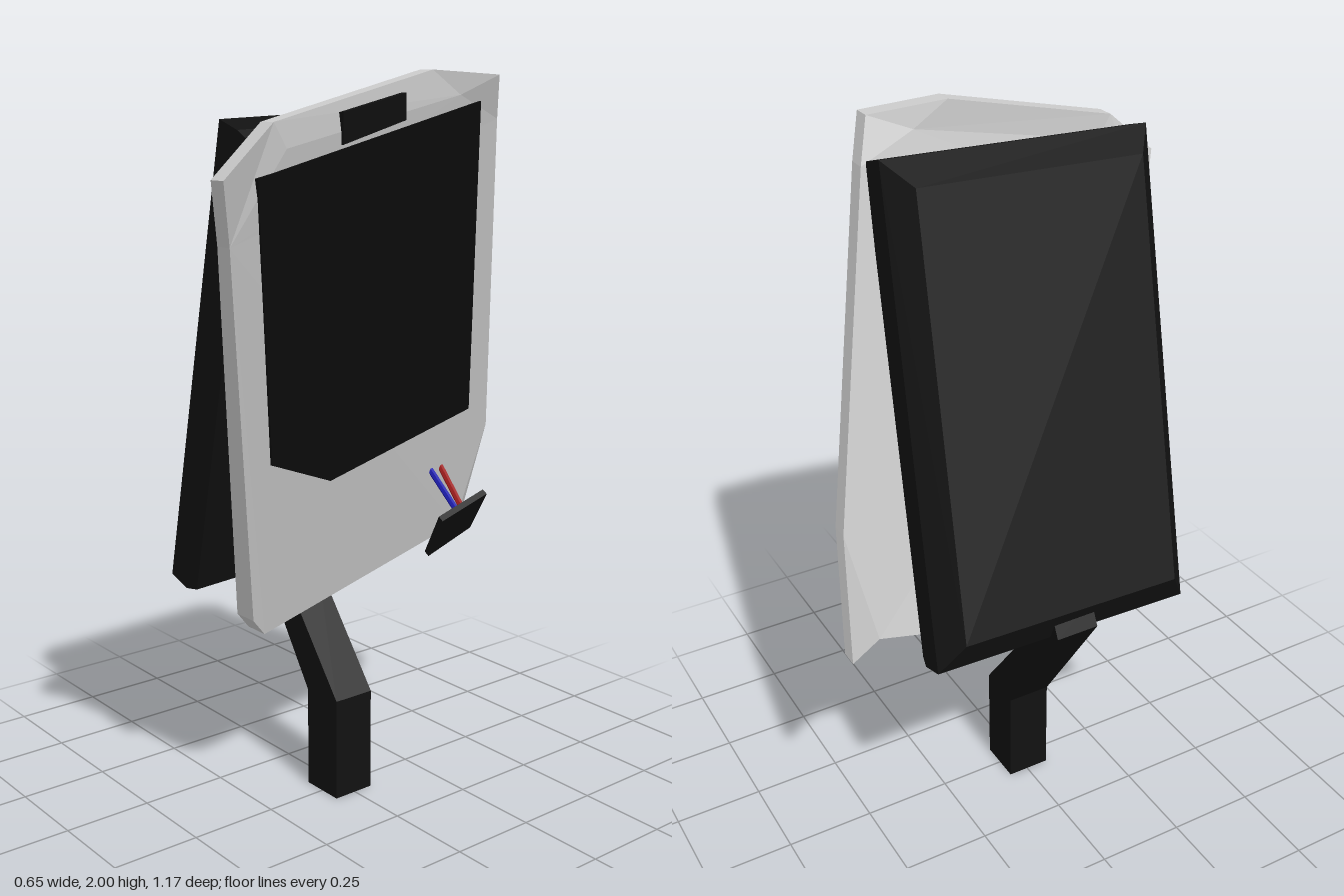
import * as THREE from 'three';

const mat = (color) => new THREE.MeshStandardMaterial({ color, flatShading: true });
const grey = mat(0xcccccc), black = mat(0x111111), glass = mat(0x0c0c0c);
const blue = mat(0x1a1ab0), red = mat(0xa01a1a);

// Flat-shaded mesh from points and triangles
function facets(name, points, tris, material) {
  const g = new THREE.BufferGeometry();
  g.setAttribute('position', new THREE.Float32BufferAttribute(tris.flat().flatMap((i) => points[i]), 3));
  g.computeVertexNormals();
  const m = new THREE.Mesh(g, material);
  m.name = name;
  return m;
}

// Closed solid through rings, ordered along +x, each counter-clockwise seen from +x
function loft(name, rings, material) {
  const n = rings[0].length, tris = [], last = (rings.length - 1) * n;
  for (let r = 0; r < last; r += n) {
    for (let i = 0; i < n; i++) {
      const j = (i + 1) % n;
      tris.push([r + i, r + j, r + n + j], [r + i, r + n + j, r + n + i]);
    }
  }
  for (let i = 1; i < n - 1; i++) tris.push([0, i + 1, i], [last, last + i, last + i + 1]);
  return facets(name, rings.flat(), tris, material);
}

// Leaning plane of the face plate
const planeX = (y, z) => 0.26 + 0.233 * (y - 1.6) + 0.085 * (z - 0.535);

// Thin inlay lying on the face plate, corners as [z, y]
function inlay(name, corners, lift, material) {
  const ring = (d) => corners.map(([z, y]) => [planeX(y, z) + d, y, z]);
  return loft(name, [ring(-0.02), ring(lift)], material);
}

// Face plate with bent corners: outline 0-10, fold points 11-12
function facePlate() {
  const front = [
    [0.32, 1.755, 0.59], [0.305, 1.88, 0.44], [0.285, 2, -0.06], [0.295, 1.99, -0.28],
    [0.25, 1.88, -0.32], [0.03, 1, -0.525], [-0.12, 0.71, -0.585], [-0.035, 0.69, -0.47],
    [-0.02, 0.515, 0.25], [0, 0.57, 0.3], [0.26, 1.6, 0.535],
    [0.3, 1.82, 0.4], [0.28, 1.94, -0.16],
  ];
  const n = front.length, edge = 11;
  const back = front.map(([x, y, z]) => [x - (y < 0.6 ? 0.075 : 0.05), y, z]);
  const faces = [
    [10, 0, 1], [10, 1, 11], [1, 2, 12], [1, 12, 11], [2, 3, 12], [3, 4, 12], [5, 6, 7],
    [10, 11, 12], [10, 12, 4], [10, 4, 5], [10, 5, 7], [10, 7, 8], [10, 8, 9],
  ];
  const tris = [];
  for (const [a, b, c] of faces) tris.push([a, c, b], [a + n, b + n, c + n]);
  for (let i = 0; i < edge; i++) {
    const j = (i + 1) % edge;
    tris.push([i, j, j + n], [i, j + n, i + n]);
  }
  return facets('facePlate', [...front, ...back], tris, grey);
}

// Leaning rear housing, chamfered towards its back
function housing() {
  const ring = (depth, halfLength, halfWidth) =>
    [[1, 1], [-1, 1], [-1, -1], [1, -1]].map(([s, t]) => {
      const u = s * halfLength, w = t * halfWidth;
      return [
        -0.14 + 0.95 * depth + 0.313 * u + 0.02 * w,
        1.305 - 0.313 * depth + 0.95 * u - 0.045 * w,
        0.035 + 0.07 * u + w,
      ];
    });
  return loft('housing', [ring(0, 0.575, 0.33), ring(0.065, 0.65, 0.39),
    ring(0.14, 0.65, 0.39), ring(0.175, 0.635, 0.38)], black);
}

// Bent square arm carrying the housing
function arm() {
  const shape = new THREE.Shape([
    [-0.065, 0], [0.065, 0], [0.065, 0.295], [-0.18, 0.62],
    [-0.2, 0.78], [-0.29, 0.75], [-0.322, 0.685], [-0.065, 0.29],
  ].map(([x, y]) => new THREE.Vector2(x, y)));
  const g = new THREE.ExtrudeGeometry(shape, { depth: 0.125, bevelEnabled: false });
  g.translate(0, 0, -0.058);
  const m = new THREE.Mesh(g, black);
  m.name = 'arm';
  return m;
}

// Straight wire between two points
function wire(name, from, to, material) {
  const path = new THREE.LineCurve3(new THREE.Vector3(...from), new THREE.Vector3(...to));
  const m = new THREE.Mesh(new THREE.TubeGeometry(path, 1, 0.009, 6), material);
  m.name = name;
  return m;
}

export function createModel() {
  const model = new THREE.Group();
  model.name = 'screenOnArm';
  model.add(arm(), housing(), facePlate());

  // Screen and slot
  model.add(inlay('screen', [[0.48, 1.755], [0.315, 1.025], [0.095, 0.94], [-0.425, 1.065], [-0.235, 1.925]], 0.006, glass));
  model.add(inlay('slot', [[0.245, 1.9], [0.23, 1.825], [0.03, 1.88], [0.045, 1.945]], 0.008, black));

  // Loose tilted card hanging on two wires
  const card = [[0.147, 0.79, -0.24], [0.047, 0.655, -0.28], [0.047, 0.71, -0.445], [0.147, 0.84, -0.41]];
  const shifted = (d) => card.map(([x, y, z]) => [x + 0.8 * d, y - 0.5 * d, z]);
  model.add(loft('card', [shifted(-0.008), shifted(0.012)], black));
  model.add(wire('blueWire', [0.01, 0.905, -0.313], [0.115, 0.78, -0.34], blue));
  model.add(wire('redWire', [0.01, 0.905, -0.357], [0.115, 0.79, -0.355], red));
  return model;
}
